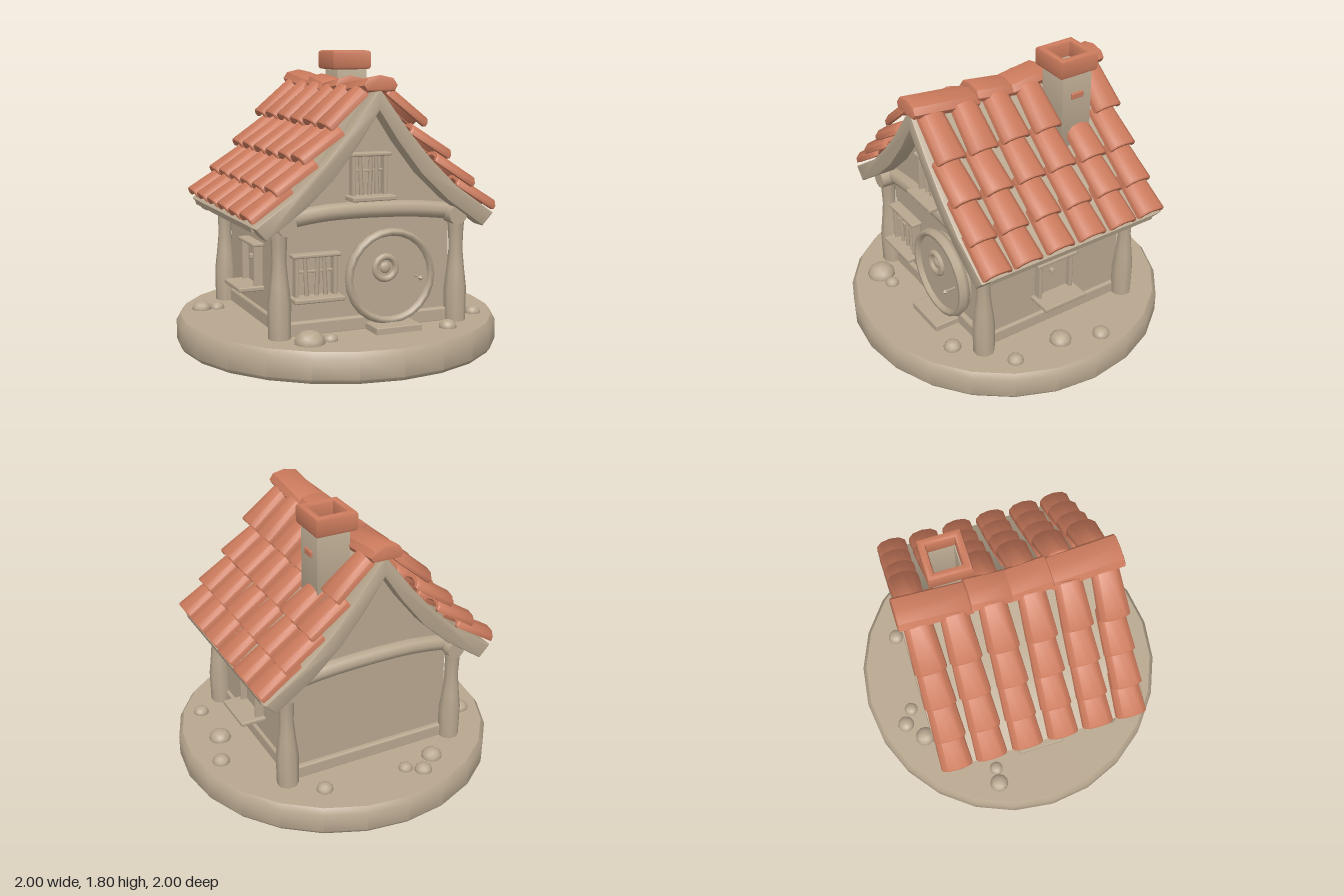
import * as THREE from 'three';
import { toCreasedNormals } from 'three/addons/utils/BufferGeometryUtils.js';
import { RoundedBoxGeometry } from 'three/addons/geometries/RoundedBoxGeometry.js';

export function createModel() {
  const model = new THREE.Group();
  const clay = new THREE.MeshStandardMaterial({ color: 0xb8a78f });
  clay.name = 'beige clay';
  const terracotta = new THREE.MeshStandardMaterial({ color: 0xcc7b5d });
  terracotta.name = 'terracotta';

  const add = (name, geo, mat = clay, x = 0, y = 0, z = 0, parent = model) => {
    const mesh = new THREE.Mesh(geo, mat);
    mesh.name = name;
    mesh.position.set(x, y, z);
    parent.add(mesh);
    return mesh;
  };
  const box = (w, h, d, r = 0.008) => new RoundedBoxGeometry(w, h, d, 1, r);
  const shapeOf = pts => new THREE.Shape(pts.map(p => new THREE.Vector2(...p)));
  const extrude = (shape, depth, bevel = 0) => toCreasedNormals(new THREE.ExtrudeGeometry(shape, {
    depth, bevelEnabled: bevel > 0, bevelSize: bevel, bevelThickness: bevel, bevelSegments: 2, bevelOffset: -bevel,
  }), 0.6);
  let seed = 7;
  const rand = () => (seed = (seed * 16807) % 2147483647) / 2147483647;

  // Round ground slab
  const slab = [[0, 0], [0.98, 0], [1, 0.025], [1, 0.145], [0.975, 0.18], [0, 0.18]];
  add('groundSlab', toCreasedNormals(
    new THREE.LatheGeometry(slab.map(p => new THREE.Vector2(...p)), 24), 0.7));

  // Walls with gables, and the plinth
  const half = [[0.53, 0.18], [0.53, 0.9], [0.33, 1.1], [0.16, 1.32]];
  const mirrored = (pts, apex) => [...pts, apex, ...pts.map(([x, y]) => [-x, y]).reverse()];
  add('walls', extrude(shapeOf(mirrored(half, [0, 1.53])), 0.98), clay, 0, 0, -0.49);
  add('plinth', box(1.1, 0.09, 1.04, 0.015), clay, 0, 0.215, 0);

  // Corner posts with a pinched neck
  const postProfile = [[0, 0.17], [0.066, 0.17], [0.068, 0.38], [0.054, 0.5], [0.042, 0.62], [0.046, 0.74], [0.054, 0.83], [0, 0.83]];
  const postGeo = toCreasedNormals(
    new THREE.LatheGeometry(postProfile.map(p => new THREE.Vector2(...p)), 8, Math.PI / 8), 0.9);
  for (const x of [-0.565, 0.565]) for (const z of [-0.525, 0.525]) add('cornerPost', postGeo, clay, x, 0, z);

  // Side logs along the eaves and slightly arched cross beams
  for (const x of [-0.54, 0.54]) {
    const log = new THREE.CylinderGeometry(0.058, 0.058, 1.2, 12);
    add('eaveLog', toCreasedNormals(log, 0.8).rotateX(Math.PI / 2), clay, x, 0.835, 0);
  }
  for (const z of [-0.5, 0.5]) {
    const path = new THREE.CatmullRomCurve3([[-0.54, 0.85], [-0.25, 0.885], [0.25, 0.88], [0.54, 0.85]]
      .map(([x, y]) => new THREE.Vector3(x, y, z)));
    add('crossBeam', new THREE.TubeGeometry(path, 12, 0.05, 8));
  }

  // Curved gable boards and the roof deck between them
  const outer = [[0.75, 0.845], [0.5, 1.02], [0.33, 1.185], [0.18, 1.36]];
  const inner = [[0.68, 0.77], [0.44, 0.94], [0.27, 1.1], [0.12, 1.29]];
  const band = (o, oApex, i, iApex) => shapeOf([...mirrored(o, [0, oApex]), ...mirrored(i, [0, iApex]).reverse()]);
  const boardGeo = extrude(band(outer, 1.6, inner, 1.47), 0.1, 0.01);
  for (const z of [-0.63, 0.55]) add('gableBoard', boardGeo, clay, 0, 0, z - 0.01);
  const deckLow = outer.map(([x, y]) => [x - 0.01, y - 0.035]);
  add('roofDeck', extrude(band(outer, 1.59, deckLow, 1.54), 1.16), clay, 0, 0, -0.58);

  // Barrel roof tile: arch section, tapering up the slope
  const arch = [[-0.097, 0], [-0.092, 0.03], [-0.06, 0.056], [0, 0.066], [0.06, 0.056], [0.092, 0.03], [0.097, 0],
    [0.07, -0.004], [0.05, 0.022], [0, 0.032], [-0.05, 0.022], [-0.07, -0.004]].reverse();
  const tileGeo = length => {
    const geo = new THREE.ExtrudeGeometry(shapeOf(arch), {
      depth: length, bevelEnabled: true, bevelSize: 0.006, bevelThickness: 0.008, bevelSegments: 1, bevelOffset: -0.006,
    });
    const p = geo.attributes.position;
    for (let i = 0; i < p.count; i++) p.setX(i, p.getX(i) * (1 - 0.14 * p.getZ(i) / length));
    return toCreasedNormals(geo, 0.75);
  };
  const rows = [[0.75, 0.868, 33, 0.28], [0.605, 1.01, 33, 0.28], [0.445, 1.18, 34, 0.28], [0.285, 1.37, 40, 0.29]];
  const columns = [-0.555, -0.34, -0.115, 0.11, 0.335, 0.55];
  rows.forEach(([x, y, degrees, length], row) => {
    const geo = tileGeo(length);
    for (const side of [-1, 1]) columns.forEach((z, col) => {
      if (side === 1 && row === 3 && col === 1) return; // room for the chimney
      const a = THREE.MathUtils.degToRad(degrees + (rand() - 0.5) * 3);
      const tile = add('roofTile', geo, terracotta);
      tile.applyMatrix4(new THREE.Matrix4().makeBasis(
        new THREE.Vector3(0, 0, side),
        new THREE.Vector3(side * Math.sin(a), Math.cos(a), 0),
        new THREE.Vector3(-side * Math.cos(a), Math.sin(a), 0)));
      tile.position.set(side * x, y + (rand() - 0.5) * 0.008, z + (rand() - 0.5) * 0.008);
    });
  });

  // Ridge caps, dipping towards the middle
  const cap = shapeOf([[-0.085, -0.012], [0.085, -0.012], [0.105, 0.02], [0.08, 0.06], [0, 0.078], [-0.08, 0.06], [-0.105, 0.02]]);
  for (const side of [-1, 1]) for (const [z0, z1, y0, y1] of [[0.23, 0.67, 1.545, 1.595], [0, 0.25, 1.545, 1.58]]) {
    const length = Math.hypot(z1 - z0, y1 - y0);
    const mesh = add('ridgeCap', extrude(cap, length - 0.02, 0.01).translate(0, 0, 0.01 - length / 2),
      terracotta, 0, (y0 + y1) / 2, side * (z0 + z1) / 2);
    mesh.rotation.x = -side * Math.atan2(y1 - y0, z1 - z0);
  }

  // Hollow chimney shaft, its rim and a proud brick
  const squareRing = (size, hole, height, bevel) => {
    const s = size / 2, h = hole / 2;
    const ring = shapeOf([[-s, -s], [s, -s], [s, s], [-s, s]]);
    ring.holes.push(new THREE.Path([[-h, -h], [-h, h], [h, h], [h, -h]].map(p => new THREE.Vector2(...p))));
    return extrude(ring, height - 2 * bevel, bevel).rotateX(-Math.PI / 2).translate(0, bevel, 0);
  };
  add('chimneyShaft', squareRing(0.205, 0.15, 0.55, 0.004), clay, 0.2, 1.15, -0.31);
  add('chimneyRim', squareRing(0.26, 0.165, 0.12, 0.018), terracotta, 0.19, 1.68, -0.31);
  add('chimneyBrick', box(0.03, 0.04, 0.085), terracotta, 0.3, 1.55, -0.31);

  // Windows: two jambs, lintel, sill and either bars or a shutter board
  const makeWindow = (name, w, h, sillDepth, bars) => {
    const g = new THREE.Group();
    g.name = name;
    model.add(g);
    for (const s of [-1, 1]) add('jamb', box(0.024, h, 0.06), clay, s * w / 2, h / 2, 0.03, g);
    add('lintel', box(w + 0.065, 0.022, 0.075), clay, 0, h, 0.037, g);
    add('sill', box(w + 0.075, 0.028, sillDepth), clay, 0, 0, sillDepth / 2, g);
    if (bars) for (const [x, t] of [[-0.25, 0.05], [0.05, -0.03], [0.25, 0.04]]) {
      const bar = add('bar', new THREE.CylinderGeometry(0.011, 0.014, h * 0.96, 6), clay, x * w, h / 2, 0.035, g);
      bar.rotation.z = t;
    } else {
      add('shutter', box(w, h, 0.02), clay, 0, h / 2, 0.01, g);
      add('shutterKnob', box(0.03, 0.035, 0.03), clay, -0.015, h * 0.64, 0.03, g);
    }
    if (bars) add('crossBar', box(w, 0.014, 0.016, 0.004), clay, 0, h * 0.62, 0.03, g);
    return g;
  };
  makeWindow('frontWindow', 0.235, 0.25, 0.12, true).position.set(-0.345, 0.4, 0.49);
  makeWindow('gableWindow', 0.2, 0.25, 0.13, true).position.set(-0.01, 0.965, 0.485);
  for (const s of [-1, 1]) {
    const w = makeWindow('sideWindow', 0.225, 0.265, 0.165, false);
    w.position.set(s * 0.525, 0.39, 0.01);
    w.rotation.y = s * Math.PI / 2;
  }

  // Round door with frame, ring and knob, and the doorstep
  const door = new THREE.Group();
  door.name = 'roundDoor';
  door.position.set(0.12, 0.49, 0.49);
  model.add(door);
  add('doorPanel', toCreasedNormals(new THREE.CylinderGeometry(0.26, 0.26, 0.06, 24), 0.6).rotateX(Math.PI / 2), clay, 0, 0, 0.03, door);
  add('doorFrame', new THREE.TorusGeometry(0.264, 0.024, 6, 24).scale(1, 1, 1.6), clay, 0, 0, 0.055, door);
  add('doorRing', new THREE.TorusGeometry(0.067, 0.02, 8, 16), clay, -0.035, 0.055, 0.065, door);
  add('doorBoss', new THREE.SphereGeometry(0.034, 10, 8).scale(1, 1, 0.5), clay, -0.035, 0.055, 0.062, door);
  add('knobStem', new THREE.CylinderGeometry(0.007, 0.007, 0.07, 6).rotateX(Math.PI / 2), clay, 0.165, -0.01, 0.09, door);
  add('doorKnob', new THREE.OctahedronGeometry(0.018, 0), clay, 0.165, -0.01, 0.127, door);
  add('doorstep', box(0.29, 0.05, 0.2), clay, 0.12, 0.195, 0.58);

  // Scattered stones: x, z, radius
  const stones = [[-0.22, -0.79, 0.055], [-0.13, -0.73, 0.045], [-0.34, -0.69, 0.065], [0.4, -0.69, 0.052],
    [0.84, -0.15, 0.055], [0.75, 0.09, 0.07], [0.75, 0.42, 0.05], [0.44, 0.67, 0.055],
    [-0.44, 0.68, 0.09], [-0.31, 0.67, 0.045], [-0.79, -0.31, 0.06], [-0.69, -0.3, 0.045]];
  for (const [x, z, r] of stones) {
    const stone = add('stone', toCreasedNormals(new THREE.IcosahedronGeometry(r, 1), 0.8), clay, x, 0.185, z);
    stone.scale.y = 0.8;
    stone.rotation.y = rand() * 6;
  }
  return model;
}
